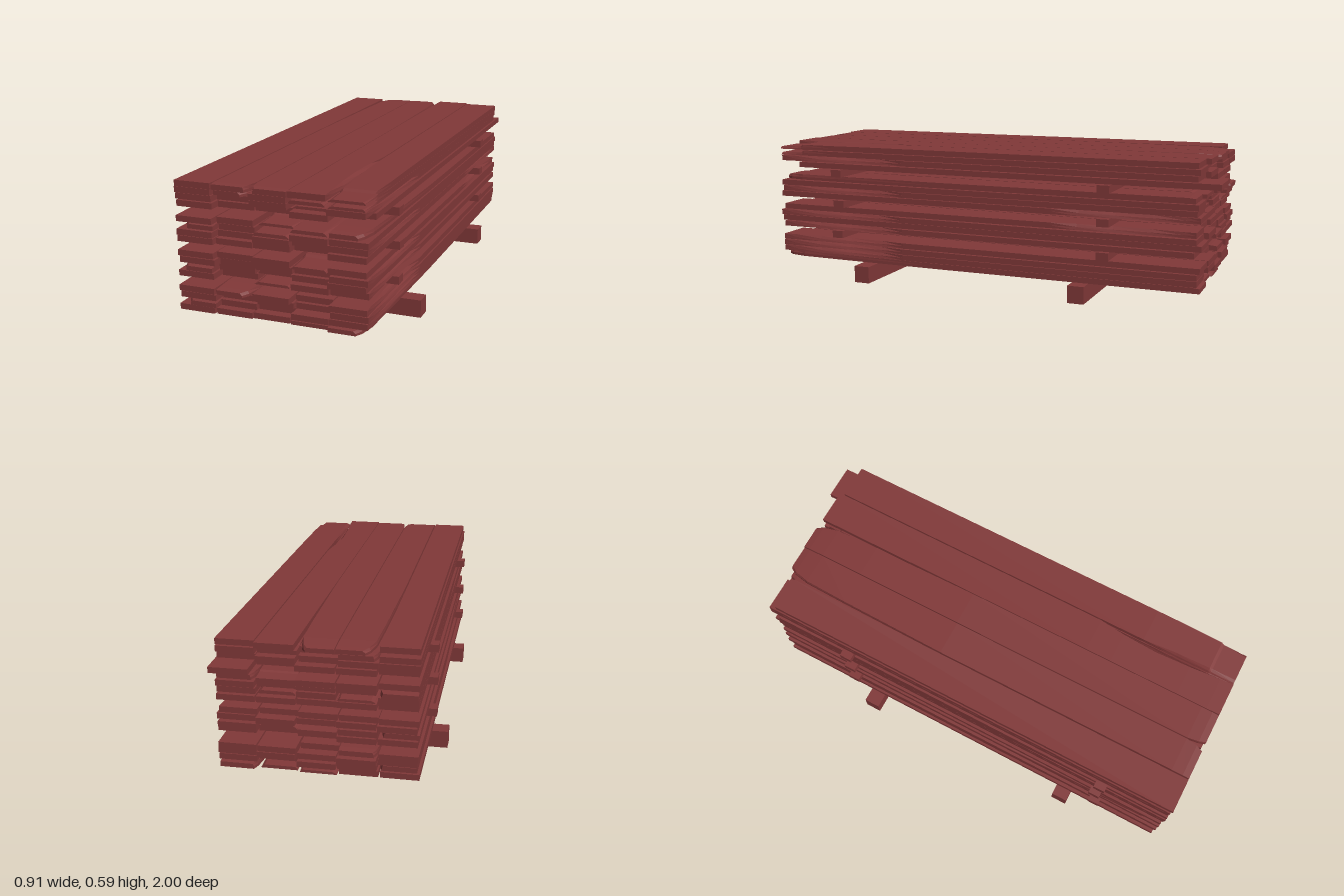
import * as THREE from 'three';

const wood = new THREE.MeshStandardMaterial({ color: 0x803838 });
wood.name = 'redBrownWood';

// Small seeded generator for board offsets
let seed = 7;
const rand = () => {
  seed = (seed * 16807) % 2147483647;
  return seed / 2147483647;
};
const vary = (a, b) => a + (b - a) * rand();

// Board wear along its length: [t from back to front, left inset, right inset, drop of the top]
const WEAR = {
  plain: [[0, 0, 0, 0], [1, 0, 0, 0]],
  edge: [[0, 0, 0, 0], [0.68, 0, 0, 0], [0.74, 0, 0.014, 0], [0.82, 0, 0.022, 0.001],
    [0.9, 0, 0.015, 0], [0.97, 0, 0.004, 0], [1, 0, 0, 0]],
  end: [[0, 0, 0, 0], [0.78, 0, 0, 0], [0.86, 0.012, 0, 0.001], [0.938, 0.016, 0.003, 0.001],
    [0.945, 0.02, 0.006, 0.009], [1, 0.022, 0.012, 0.013]],
  corner: [[0, 0.02, 0, 0.003], [0.015, 0.008, 0, 0], [0.04, 0, 0, 0], [0.6, 0, 0, 0],
    [0.85, 0, 0.008, 0], [0.95, 0, 0.014, 0], [0.985, 0, 0.03, 0.003], [1, 0, 0.05, 0.006]],
  split: [[0, 0, 0, 0.008], [0.03, 0, 0, 0.005], [0.035, 0, 0, 0], [0.5, 0, 0, 0],
    [0.6, 0.006, 0, 0], [0.75, 0.012, 0.004, 0], [0.9, 0.006, 0.01, 0.003], [1, 0.012, 0.018, 0.01]],
};

// Six-sided cross-sections lofted along z
function boardGeometry(w, h, z0, z1, wear, flipX, flipZ) {
  let rows = WEAR[wear];
  if (flipZ) rows = rows.map(([t, ...r]) => [1 - t, ...r]).reverse();
  if (flipX) rows = rows.map(([t, l, r, d]) => [t, r, l, d]);
  const rings = rows.map(([t, l, r, d]) => {
    const z = z0 + (z1 - z0) * t;
    const corner = wear === 'corner' ? 0.8 : 0.15;
    const mid = (h - d) * 0.5;
    return [
      [-w / 2 + l * corner, 0, z], [w / 2 - r * corner, 0, z],
      [w / 2 - r * Math.max(corner, 0.4), mid, z], [w / 2 - r, h - d, z],
      [-w / 2 + l, h - d, z], [-w / 2 + l * Math.max(corner, 0.4), mid, z],
    ];
  });
  const out = [];
  const tri = (a, b, c) => out.push(...a, ...b, ...c);
  for (let i = 0; i < rings.length - 1; i++) {
    for (let j = 0; j < 6; j++) {
      const k = (j + 1) % 6;
      const p = rings[i], q = rings[i + 1];
      tri(p[j], p[k], q[k]);
      tri(p[j], q[k], q[j]);
    }
  }
  const back = rings[0], front = rings[rings.length - 1];
  for (let j = 1; j < 5; j++) {
    tri(front[0], front[j], front[j + 1]);
    tri(back[0], back[j + 1], back[j]);
  }
  const g = new THREE.BufferGeometry();
  g.setAttribute('position', new THREE.Float32BufferAttribute(out, 3));
  g.computeVertexNormals();
  return g;
}

function addBoard(parent, x, y, z0, z1, wear, flipX = false, flipZ = false) {
  const m = new THREE.Mesh(boardGeometry(0.149, 0.0235, z0, z1, wear, flipX, flipZ), wood);
  m.name = 'board';
  m.position.set(x, y, 0);
  parent.add(m);
}

function addBeam(parent, name, x0, x1, y0, y1, z0, z1) {
  const m = new THREE.Mesh(new THREE.BoxGeometry(x1 - x0, y1 - y0, z1 - z0), wood);
  m.name = name;
  m.position.set((x0 + x1) / 2, (y0 + y1) / 2, (z0 + z1) / 2);
  parent.add(m);
}

const COLUMNS = [-0.311, -0.156, -0.003, 0.151, 0.305];
const LAYERS = [0.0735, 0.2145, 0.352, 0.489];

// Wear per layer from bottom to top, one letter per column
const KEY = { p: 'plain', e: 'edge', n: 'end', c: 'corner', s: 'split' };
const PATTERN = [
  'ppnsc', 'cpppe', 'ppepe', 'pcppe',
  'ppnpe', 'cpsnp', 'ppppe', 'pppne',
  'ppppe', 'pnpse', 'cpsep', 'ppnsc',
  'ppppp', 'pppne', 'pcpsn',
];

export function createModel() {
  seed = 7;
  const model = new THREE.Group();
  model.name = 'lumberStack';

  // Ground bearers
  addBeam(model, 'frontBearer', -0.438, 0.453, 0, 0.073, 0.513, 0.583);
  addBeam(model, 'backBearer', -0.455, 0.434, 0, 0.073, -0.47, -0.4);

  // Thin spacers between the bundles
  [[0.182, 0.67], [0.319, 0.66], [0.456, 0.67]].forEach(([y, z]) => {
    addBeam(model, 'frontSpacer', -0.416, 0.406, y, y + 0.032, z, z + 0.05);
    addBeam(model, 'backSpacer', -0.416, 0.406, y, y + 0.032, -0.562, -0.51);
  });

  // Four bundles of four board layers
  LAYERS.forEach((base, b) => {
    const bundle = new THREE.Group();
    bundle.name = 'boardBundle';
    model.add(bundle);
    for (let r = 0; r < 4; r++) {
      const row = b * 4 + r;
      if (row === 15) continue;
      const y = base + r * 0.0263;
      const shift = vary(-0.004, 0.004);
      COLUMNS.forEach((x, c) => {
        let z1 = vary(0.93, 1);
        let z0 = z1 - vary(1.86, 1.9);
        if (c === 4 || c === 0) { z1 = vary(0.985, 1); z0 = vary(-0.93, -0.9); }
        if (row === 12 && c === 4) { z0 = -1; z1 = 0.9; }
        const wear = KEY[PATTERN[row][c]];
        const flipZ = wear !== 'corner' && rand() < 0.3;
        addBoard(bundle, x + shift + vary(-0.002, 0.002), y, Math.max(z0, -0.93 - (row === 12 && c === 4 ? 0.07 : 0)),
          z1, wear, c === 0, flipZ);
      });
    }
    // Top layer
    if (b === 3) {
      const y = base + 3 * 0.0263;
      addBoard(bundle, -0.309, y, -0.89, 1, 'plain');
      addBoard(bundle, -0.154, y, -0.93, 1, 'corner', true, true);
      addBoard(bundle, -0.001, y, -0.935, 1, 'corner', false, true);
      addBoard(bundle, 0.151, y, -0.93, 1, 'edge');
      addBoard(bundle, 0.305, y, -0.91, 1, 'end');
    }
  });

  return model;
}
